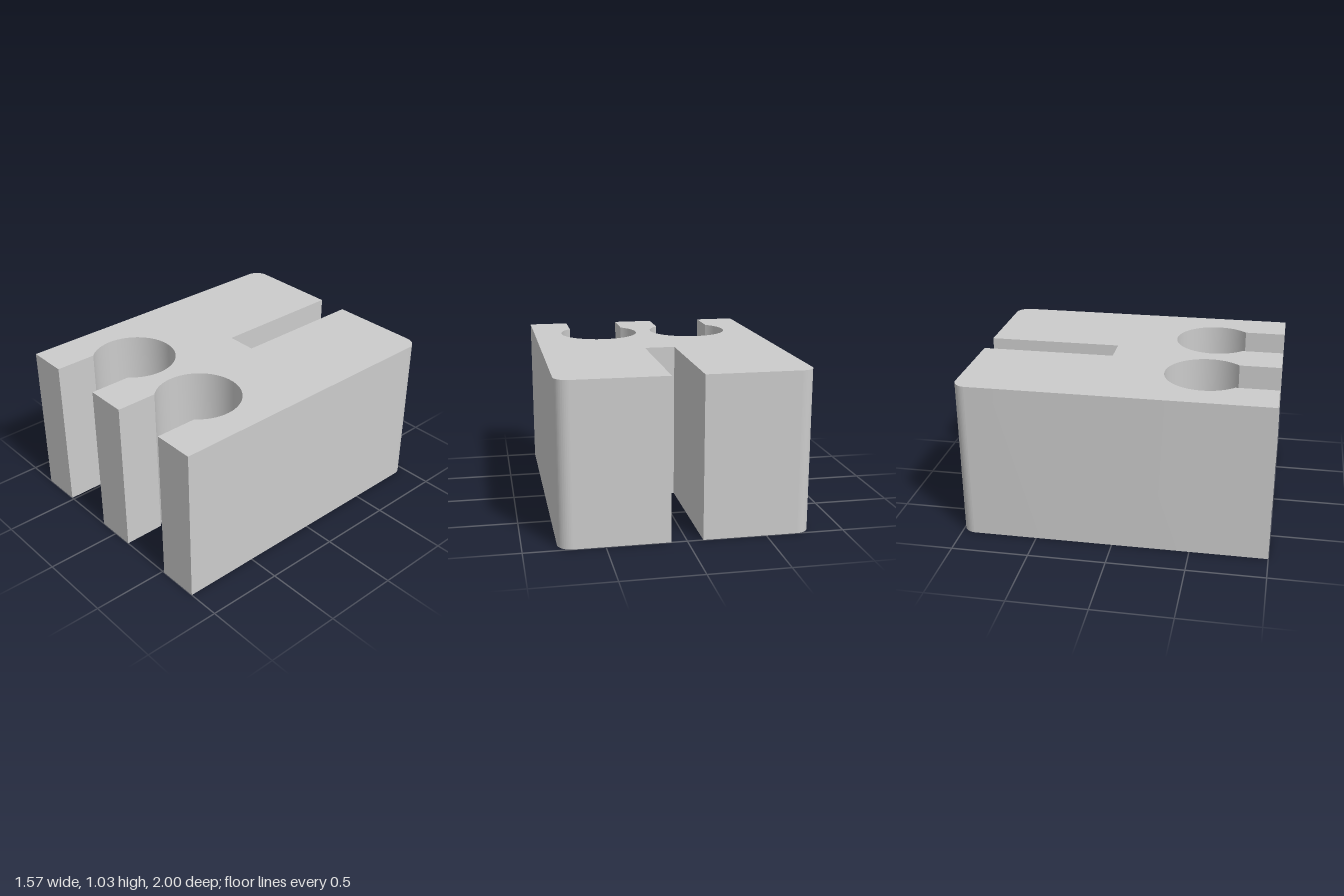
import * as THREE from 'three';
import { toCreasedNormals } from 'three/addons/utils/BufferGeometryUtils.js';

export function createModel() {
  const halfWidth = 0.787, height = 1.035, corner = 0.09;
  const slotHalf = 0.1, slotEnd = 0.115;
  const holeR = 0.271, holeY = -0.536, neckHalf = 0.19;

  // Plan outline: shape y is world -z, so the front edge lies at y = -1
  const outline = new THREE.Shape();
  outline.moveTo(-halfWidth, -1);

  // Two keyhole channels open to the front
  const neckY = holeY - Math.sqrt(holeR ** 2 - neckHalf ** 2);
  const angle = Math.atan2(neckY - holeY, neckHalf);
  for (const x of [-0.328, 0.325]) {
    outline.lineTo(x - neckHalf, -1);
    outline.lineTo(x - neckHalf, neckY);
    outline.absarc(x, holeY, holeR, Math.PI - angle, angle, true);
    outline.lineTo(x + neckHalf, -1);
  }
  outline.lineTo(halfWidth, -1);

  // Rounded back corners with a straight slot between them
  outline.lineTo(halfWidth, 1 - corner);
  outline.absarc(halfWidth - corner, 1 - corner, corner, 0, Math.PI / 2, false);
  outline.lineTo(slotHalf, 1);
  outline.lineTo(slotHalf, slotEnd);
  outline.lineTo(-slotHalf, slotEnd);
  outline.lineTo(-slotHalf, 1);
  outline.lineTo(-halfWidth + corner, 1);
  outline.absarc(-halfWidth + corner, 1 - corner, corner, Math.PI / 2, Math.PI, false);
  outline.closePath();

  const extruded = new THREE.ExtrudeGeometry(outline, {
    depth: height, bevelEnabled: false, curveSegments: 32,
  });
  extruded.rotateX(-Math.PI / 2);

  const block = new THREE.Mesh(
    toCreasedNormals(extruded, 0.4),
    new THREE.MeshStandardMaterial({ color: 0xcccccc }),
  );
  block.name = 'slottedBlock';

  const model = new THREE.Group();
  model.name = 'keyholeClampBlock';
  model.add(block);
  return model;
}
